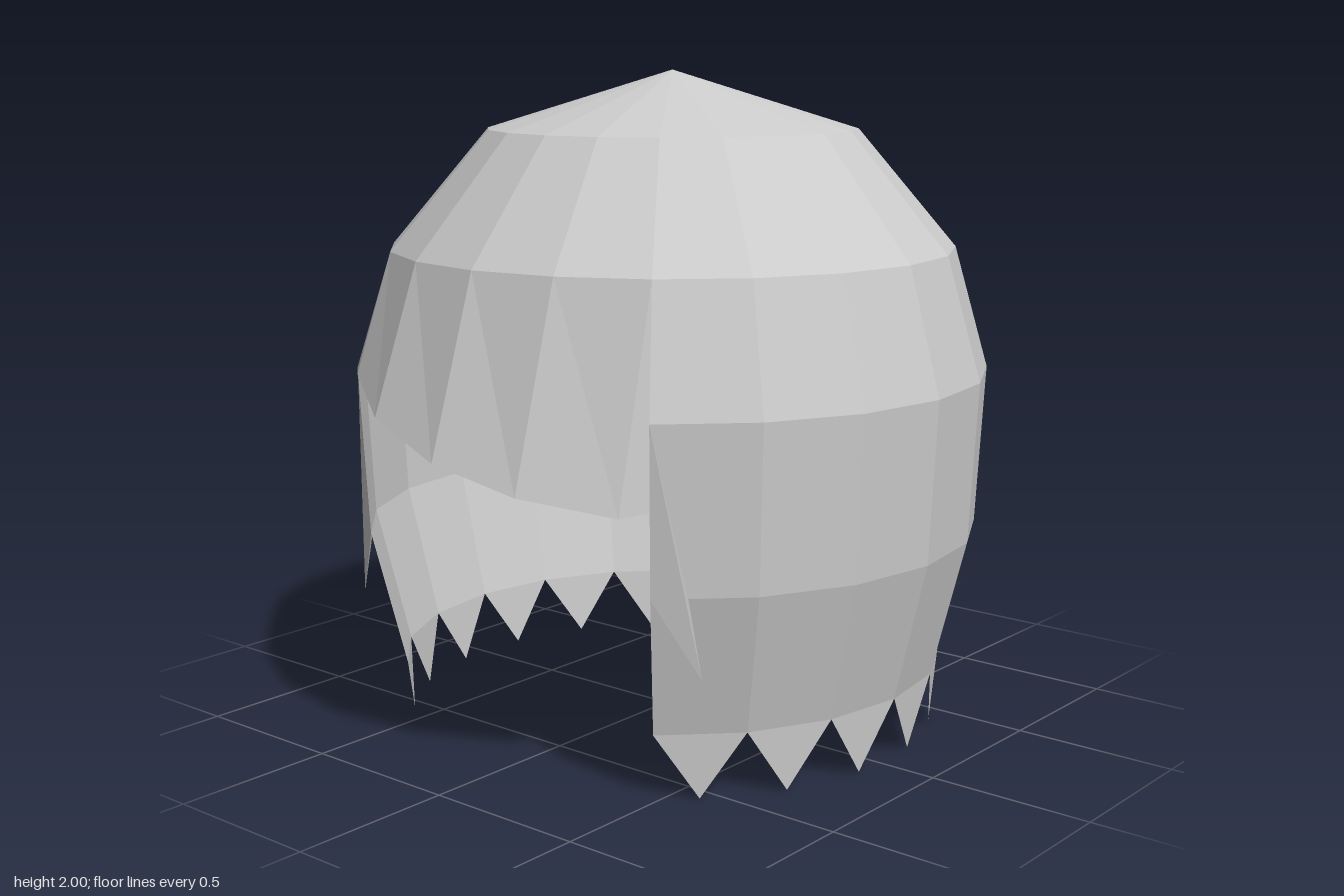
import * as THREE from 'three';

const SIDES = 20, STEP = (Math.PI * 2) / SIDES, Z0 = -0.03;
const OPEN = 2; // the face opening spans this many segments either side of the front

// Horizontal rings of the hair shell, crown to hem: [radius, height]
const RINGS = [[0, 2], [0.565, 1.825], [0.865, 1.47], [0.97, 1.1], [0.945, 0.615], [0.843, 0.195]];
const TIP = [0.82, 0];

const material = new THREE.MeshStandardMaterial({ color: 0xcccccc, flatShading: true, side: THREE.DoubleSide });

// Point on a ring; k counts segments from the front towards +x
const at = ([r, y], k) => [r * Math.sin(k * STEP), y, r * Math.cos(k * STEP) + Z0];

function part(name, triangles) {
  const geometry = new THREE.BufferGeometry();
  geometry.setAttribute('position', new THREE.Float32BufferAttribute(triangles.flat(2), 3));
  geometry.computeVertexNormals();
  const mesh = new THREE.Mesh(geometry, material);
  mesh.name = name;
  return mesh;
}

// Two triangles from corners lower-left, lower-right, upper-right, upper-left
const quad = (ll, lr, ur, ul) => [[ll, lr, ul], [lr, ur, ul]];

// Band between two rings over segments from..to
function band(upper, lower, from, to) {
  const out = [];
  for (let k = from; k < to; k++) {
    if (upper[0] === 0) out.push([at(lower, k), at(lower, k + 1), at(upper, k)]);
    else out.push(...quad(at(lower, k), at(lower, k + 1), at(upper, k + 1), at(upper, k)));
  }
  return out;
}

export function createModel() {
  const group = new THREE.Group();
  group.name = 'bobWig';

  // Closed crown
  group.add(part('crown', [0, 1].flatMap((i) => band(RINGS[i], RINGS[i + 1], 0, SIDES))));

  // Sides and back, leaving the face open
  const first = OPEN, last = SIDES - OPEN;
  group.add(part('sidesAndBack', [2, 3, 4].flatMap((i) => band(RINGS[i], RINGS[i + 1], first, last))));

  // Pointed tips along the hem
  const hem = RINGS[5], tips = [];
  for (let k = first; k < last; k++) tips.push([at(hem, k), at(TIP, k + 0.5), at(hem, k + 1)]);
  group.add(part('hemTips', tips));

  // Slanted fringe, flaring out from the crown
  const edge = [[-0.51, 1.12, 0.81], [-0.28, 1.04, 0.95], [0, 0.955, 1], [0.265, 0.89, 0.95], [0.51, 0.845, 0.81]];
  const root = edge.map((_, i) => at(RINGS[2], i - OPEN));
  const fringe = [];
  for (let i = 0; i < 4; i++) fringe.push(...quad(edge[i], edge[i + 1], root[i + 1], root[i]));
  // returns that fold the fringe back to the side hair
  fringe.push([[-0.57, 1.125, 0.757], edge[0], root[0]]);
  fringe.push([edge[4], [0.565, 0.86, 0.75], root[4]]);
  group.add(part('fringe', fringe));

  // Thin pointed locks beside the face
  for (const side of [1, -1]) {
    const [top, front, back, tip] = [at(RINGS[3], OPEN), at(RINGS[4], OPEN), [0.63, 0.6, 0.66], [0.675, 0.395, 0.66]]
      .map(([x, y, z]) => [x * side, y, z]);
    const faces = [[top, front, tip], [top, tip, back], [front, back, tip]];
    group.add(part(side > 0 ? 'leftLock' : 'rightLock', side > 0 ? faces : faces.map((f) => f.reverse())));
  }
  return group;
}
